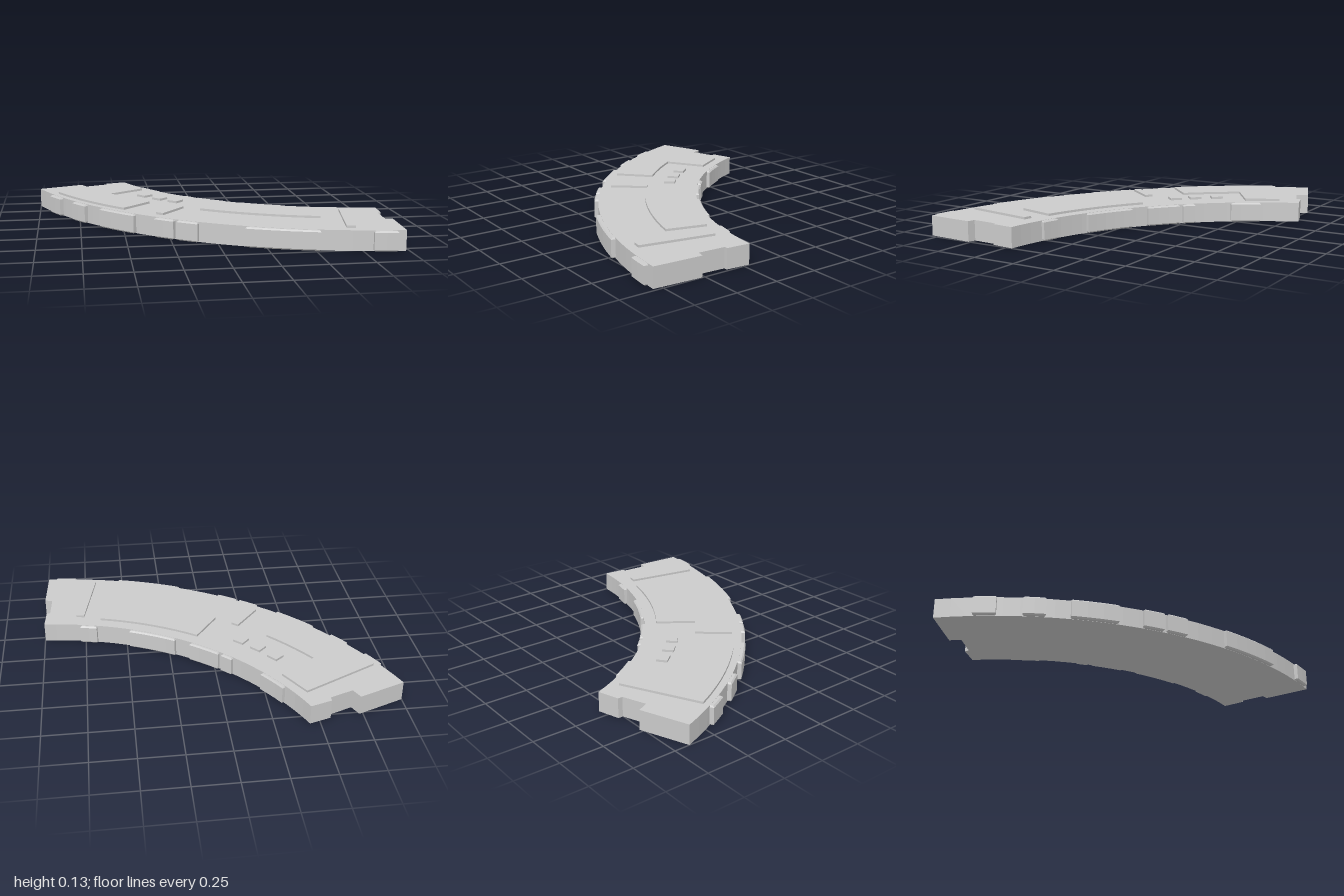
import * as THREE from 'three';

const CX = 1.10, CZ = -1.47; // centre of the curve in plan
const material = new THREE.MeshStandardMaterial({ color: 0xcccccc, flatShading: true });

// Plan point at radius r and angle deg from +z towards -x (shape y is -z)
const polar = (r, deg) => {
  const a = THREE.MathUtils.degToRad(deg);
  return new THREE.Vector2(CX - r * Math.sin(a), -CZ - r * Math.cos(a));
};
const plan = (x, z) => new THREE.Vector2(x, -z);

// Arc of plan points, the radius running from r0 to r1
function arc(r0, r1, a0, a1, n = Math.max(2, Math.ceil(Math.abs(a1 - a0) / 2.5))) {
  return Array.from({ length: n + 1 }, (_, i) =>
    polar(THREE.MathUtils.lerp(r0, r1, i / n), THREE.MathUtils.lerp(a0, a1, i / n)));
}

// Upright prism over a plan outline, with an optional chamfer kept inside it
function prism(name, points, y0, y1, bevel = 0) {
  const geometry = new THREE.ExtrudeGeometry(new THREE.Shape(points), {
    depth: y1 - y0 - 2 * bevel, bevelEnabled: bevel > 0, bevelThickness: bevel,
    bevelSize: bevel, bevelOffset: -bevel, bevelSegments: 1,
  });
  geometry.rotateX(-Math.PI / 2);
  geometry.translate(0, y0 + bevel, 0);
  const mesh = new THREE.Mesh(geometry, material);
  mesh.name = name;
  return mesh;
}

const outerRadius = a => THREE.MathUtils.mapLinear(a, 3, 69, 2.27, 2.251);
const innerRadius = a => THREE.MathUtils.mapLinear(a, 3, 67, 1.687, 1.675);

export function createModel() {
  const group = new THREE.Group();
  const TOP = 0.115, PLATE = 0.128;

  // Curved slab with stepped ends
  group.add(prism('curvedSlab', [
    ...arc(outerRadius(3), outerRadius(68.9), 3, 68.9),
    plan(-0.73, -0.765), plan(-0.70, -0.70), plan(-0.565, -0.752), plan(-0.565, -0.78),
    ...arc(innerRadius(67.1), innerRadius(3.5), 67.1, 3.5),
    plan(0.985, 0.35), plan(0.965, 0.35), plan(0.955, 0.505), plan(0.999, 0.515),
  ], 0, TOP));

  // Chamfered blocks standing out of the outer rim
  const outerTabs = [[4.2, 7.5], [14.6, 25], [32, 35.3], [35.8, 39], [42.7, 49.6], [53.1, 56.3], [60, 63.3]];
  for (const [a, b] of outerTabs) {
    group.add(prism('outerRimBlock', [
      ...arc(outerRadius(a) + 0.024, outerRadius(b) + 0.024, a, b),
      ...arc(2.2, 2.2, b, a),
    ], 0.001, TOP - 0.001, 0.008));
  }

  // Chamfered blocks standing out of the inner rim
  const innerTabs = [[11.1, 14.6], [21.7, 31.9], [35.3, 42.2], [42.9, 45.5], [53.1, 59.3]];
  for (const [a, b] of innerTabs) {
    group.add(prism('innerRimBlock', [
      ...arc(innerRadius(a) - 0.02, innerRadius(b) - 0.02, a, b),
      ...arc(1.74, 1.74, b, a),
    ], 0.001, TOP - 0.001, 0.008));
  }

  // Raised L-shaped plate
  group.add(prism('cornerPlate', [
    ...arc(2.217, 2.217, 46, 63.3),
    polar(1.733, 63.3), polar(1.733, 56.4),
    ...arc(1.985, 1.985, 56.4, 46),
  ], TOP - 0.01, PLATE));

  // Raised curved plate
  group.add(prism('curvedPlate', [
    ...arc(1.988, 1.988, 14.7, 35.4),
    ...arc(1.753, 1.753, 35.4, 14.7),
  ], TOP - 0.01, PLATE));

  // Radial strips and small square buttons: radius, angle, length, width
  const blocks = [
    ['radialStrip', 1.994, 10.45, 0.435, 0.05],
    ['radialStrip', 2.093, 39.4, 0.22, 0.047],
    ['squareButton', 1.846, 51.3, 0.066, 0.07],
    ['squareButton', 1.852, 47.1, 0.066, 0.07],
    ['squareButton', 1.854, 43.2, 0.066, 0.07],
  ];
  for (const [name, r, deg, length, width] of blocks) {
    const height = PLATE - TOP + 0.01;
    const mesh = new THREE.Mesh(new THREE.BoxGeometry(width, height, length), material);
    const p = polar(r, deg);
    mesh.position.set(p.x, PLATE - height / 2, -p.y);
    mesh.rotation.y = -THREE.MathUtils.degToRad(deg);
    mesh.name = name;
    group.add(mesh);
  }
  return group;
}
